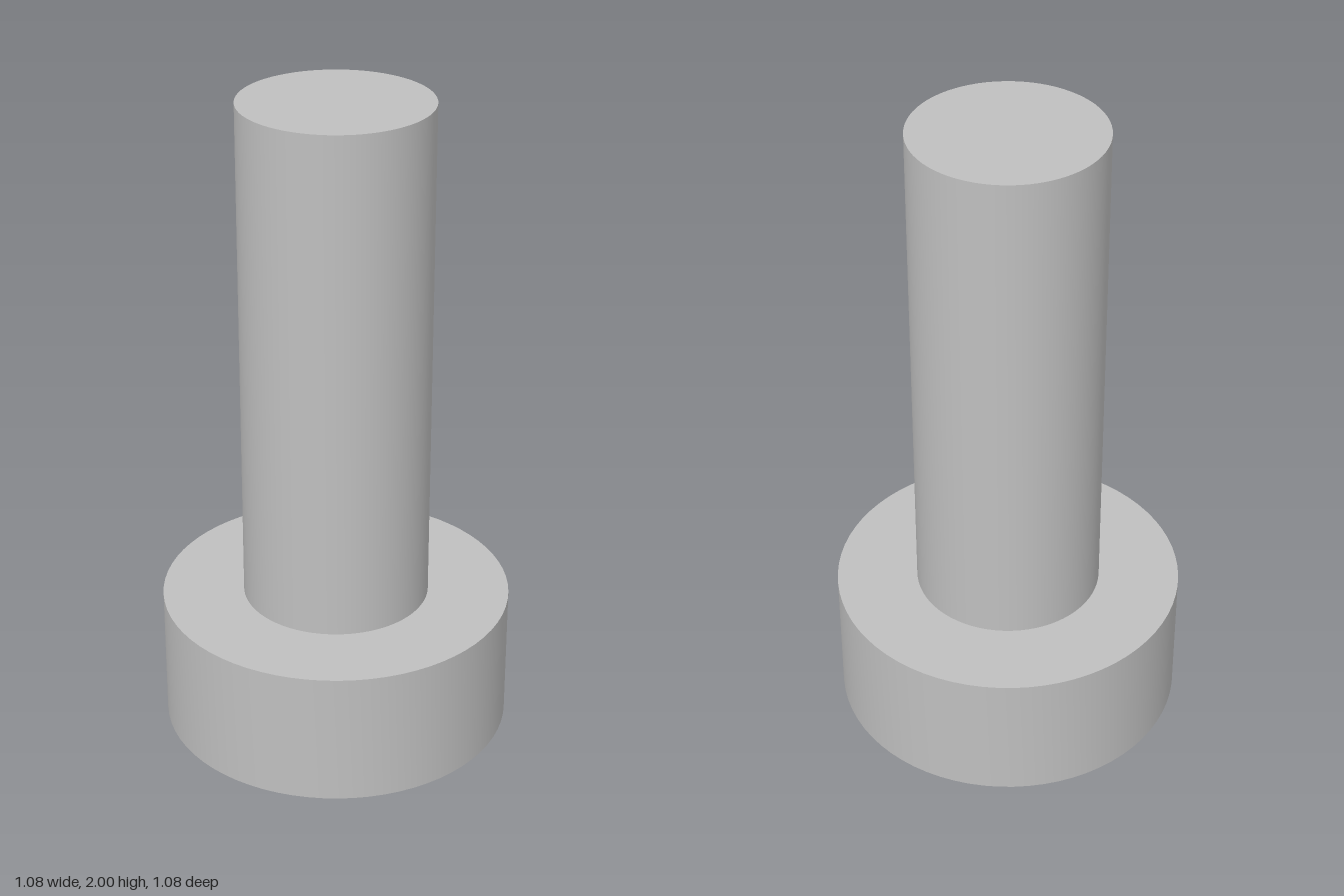
import * as THREE from 'three';
import { toCreasedNormals } from 'three/addons/utils/BufferGeometryUtils.js';

const HEAD_R = 0.538, HEAD_H = 0.42, SHANK_R = 0.287, TOP = 2;
const HEX_R = 0.226, HEX_DEPTH = 0.3;

export function createModel() {
  const steel = new THREE.MeshStandardMaterial({ color: 0xbfbfbf });
  steel.name = 'steel grey';

  const add = (parent, name, geometry) => {
    const mesh = new THREE.Mesh(geometry, steel);
    mesh.name = name;
    parent.add(mesh);
    return mesh;
  };
  const turned = (...points) => toCreasedNormals(
    new THREE.LatheGeometry(points.map(([r, y]) => new THREE.Vector2(r, y)), 72), 0.6);

  const screw = new THREE.Group();
  screw.name = 'socketHeadScrew';

  // Plain shank with a flat end
  add(screw, 'shank', turned([SHANK_R, HEAD_H], [SHANK_R, TOP], [0, TOP]));

  // Cylindrical head: side and shoulder
  const head = new THREE.Group();
  head.name = 'head';
  screw.add(head);
  add(head, 'headSide', turned([HEAD_R, 0], [HEAD_R, HEAD_H], [SHANK_R, HEAD_H]));

  // Underside with a hexagonal opening, corners on the x axis
  const face = new THREE.Shape().absarc(0, 0, HEAD_R, 0, Math.PI * 2);
  const corners = Array.from({ length: 6 }, (_, i) => new THREE.Vector2(
    HEX_R * Math.cos(i * Math.PI / 3), HEX_R * Math.sin(i * Math.PI / 3)));
  face.holes.push(new THREE.Path(corners));
  add(head, 'headFace', new THREE.ShapeGeometry(face, 72).rotateX(Math.PI / 2));

  // Socket walls, mirrored so they face inward
  const walls = new THREE.CylinderGeometry(HEX_R, HEX_R, HEX_DEPTH, 6, 1, true, Math.PI / 2)
    .toNonIndexed().scale(-1, 1, 1).translate(0, HEX_DEPTH / 2, 0);
  walls.computeVertexNormals();
  add(head, 'socketWalls', walls);

  // Socket floor, facing down
  add(head, 'socketFloor', new THREE.CircleGeometry(HEX_R, 6).rotateX(Math.PI / 2))
    .position.y = HEX_DEPTH;

  return screw;
}
